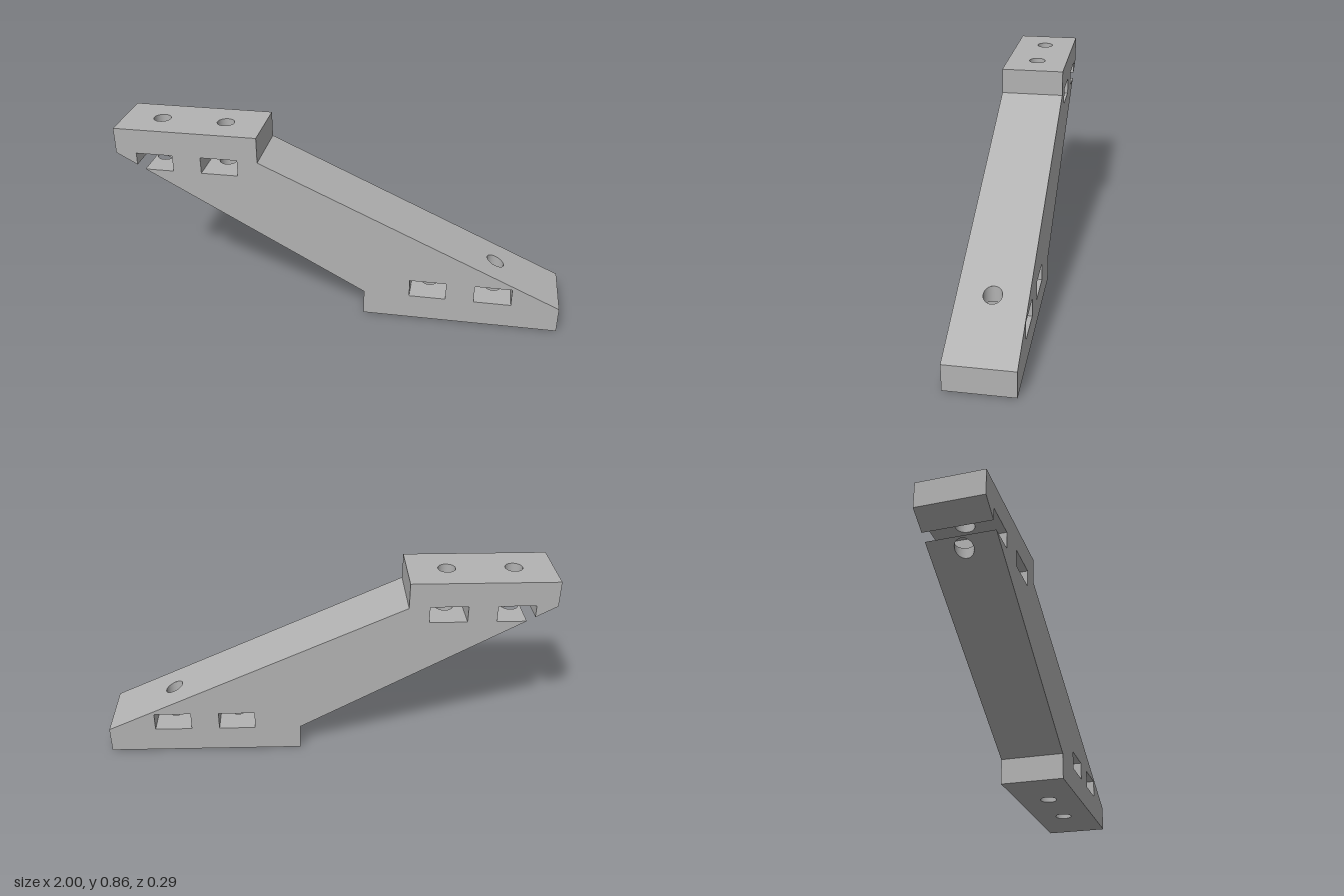
import * as THREE from 'three';

const HALF = 0.146;      // half of the bracket's depth
const R = 0.039;         // bolt hole radius
const A = -0.825, B = -0.531, C = 0.41, D = 0.704; // bolt hole x positions
const underSlope = (x) => 0.738 - 0.5546 * (x + 1);
const upperSlope = (x) => 0.738 - 0.4562 * (x + 0.357);

// Each loop entry: x, y, then the x positions of bolt holes in the edge that starts there.
const outline = [
  [-1, 0.855], [-1, 0.738],
  [-0.907, underSlope(-0.907)], [-0.907, 0.742, A], [-0.742, 0.742], [-0.742, 0.667, A], // open nut slot
  [-0.872, 0.667, A], [0.118, 0.118], [0.118, 0, C, D], [1, 0],
  [1, 0.119, D], [-0.357, 0.738], [-0.357, 0.855, A, B],
];
// Closed nut slot, clockwise, with holes in its ceiling and floor
const slot = (x0, x1, y0, y1, hole) => [[x0, y0], [x0, y1, hole], [x1, y1], [x1, y0, hole]];
const slots = [
  slot(-0.614, -0.448, 0.667, 0.742, B),
  slot(0.327, 0.492, 0.117, 0.2, C),
  slot(0.62, 0.787, 0.117, 0.2, D),
];

export function createModel() {
  const group = new THREE.Group();
  const grey = new THREE.MeshStandardMaterial({ color: 0xb3b3b3, side: THREE.DoubleSide });
  grey.name = 'plain grey';

  const add = (name, geometry) => {
    const mesh = new THREE.Mesh(geometry, grey);
    mesh.name = name;
    group.add(mesh);
    return mesh;
  };
  const toPoints = (loop) => loop.map(([x, y]) => new THREE.Vector2(x, y));

  // Front and back plates with slot openings
  const profile = new THREE.Shape(toPoints(outline));
  slots.forEach((s) => profile.holes.push(new THREE.Path(toPoints(s))));
  add('frontFace', new THREE.ShapeGeometry(profile).translate(0, 0, HALF));
  add('backFace', new THREE.ShapeGeometry(profile).rotateY(Math.PI).scale(-1, 1, 1)
    .translate(0, 0, -HALF));
  const back = group.children[1].geometry;
  // Mirroring flips the winding, so restore outward faces
  back.index.array.reverse();
  for (let i = 0; i < back.attributes.normal.count; i++) back.attributes.normal.setXYZ(i, 0, 0, -1);

  // Walls across the depth, one per profile edge, pierced by bolt holes
  const addWalls = (name, loop) => loop.forEach(([ax, ay, ...holes], i) => {
    const [bx, by] = loop[(i + 1) % loop.length];
    const length = Math.hypot(bx - ax, by - ay);
    const u = new THREE.Vector3((bx - ax) / length, (by - ay) / length, 0);
    const wall = new THREE.Shape([
      new THREE.Vector2(0, -HALF), new THREE.Vector2(length, -HALF),
      new THREE.Vector2(length, HALF), new THREE.Vector2(0, HALF),
    ]);
    holes.forEach((x) => wall.holes.push(new THREE.Path().absellipse(
      (x - ax) / u.x, 0, R / Math.abs(u.x), R, 0, Math.PI * 2, true)));
    const z = new THREE.Vector3(0, 0, 1);
    const matrix = new THREE.Matrix4().makeBasis(u, z, u.clone().cross(z)).setPosition(ax, ay, 0);
    add(name, new THREE.ShapeGeometry(wall, 16).applyMatrix4(matrix));
  });
  addWalls('outerWall', outline);
  slots.forEach((s) => addWalls('slotWall', s));

  // Bolt hole linings, with ends trimmed to the surfaces they meet
  const addBore = (x, bottom, top) => {
    const g = new THREE.CylinderGeometry(R, R, 1, 32, 1, true).translate(x, 0, 0);
    const p = g.attributes.position;
    for (let i = 0; i < p.count; i++) {
      const end = p.getY(i) > 0 ? top : bottom;
      p.setY(i, typeof end === 'function' ? end(p.getX(i)) : end);
    }
    add('boltHole', g);
  };
  addBore(A, 0.742, 0.855);
  addBore(A, underSlope, 0.667);
  addBore(B, 0.742, 0.855);
  addBore(B, 0.6, 0.667);
  addBore(C, 0, 0.117);
  addBore(C, 0.2, 0.28);
  addBore(D, 0, 0.117);
  addBore(D, 0.2, upperSlope);

  // Ends of the two blind holes
  add('blindHoleFloor', new THREE.CircleGeometry(R, 32).rotateX(-Math.PI / 2).translate(B, 0.6, 0));
  add('blindHoleCeiling', new THREE.CircleGeometry(R, 32).rotateX(Math.PI / 2).translate(C, 0.28, 0));

  return group;
}
